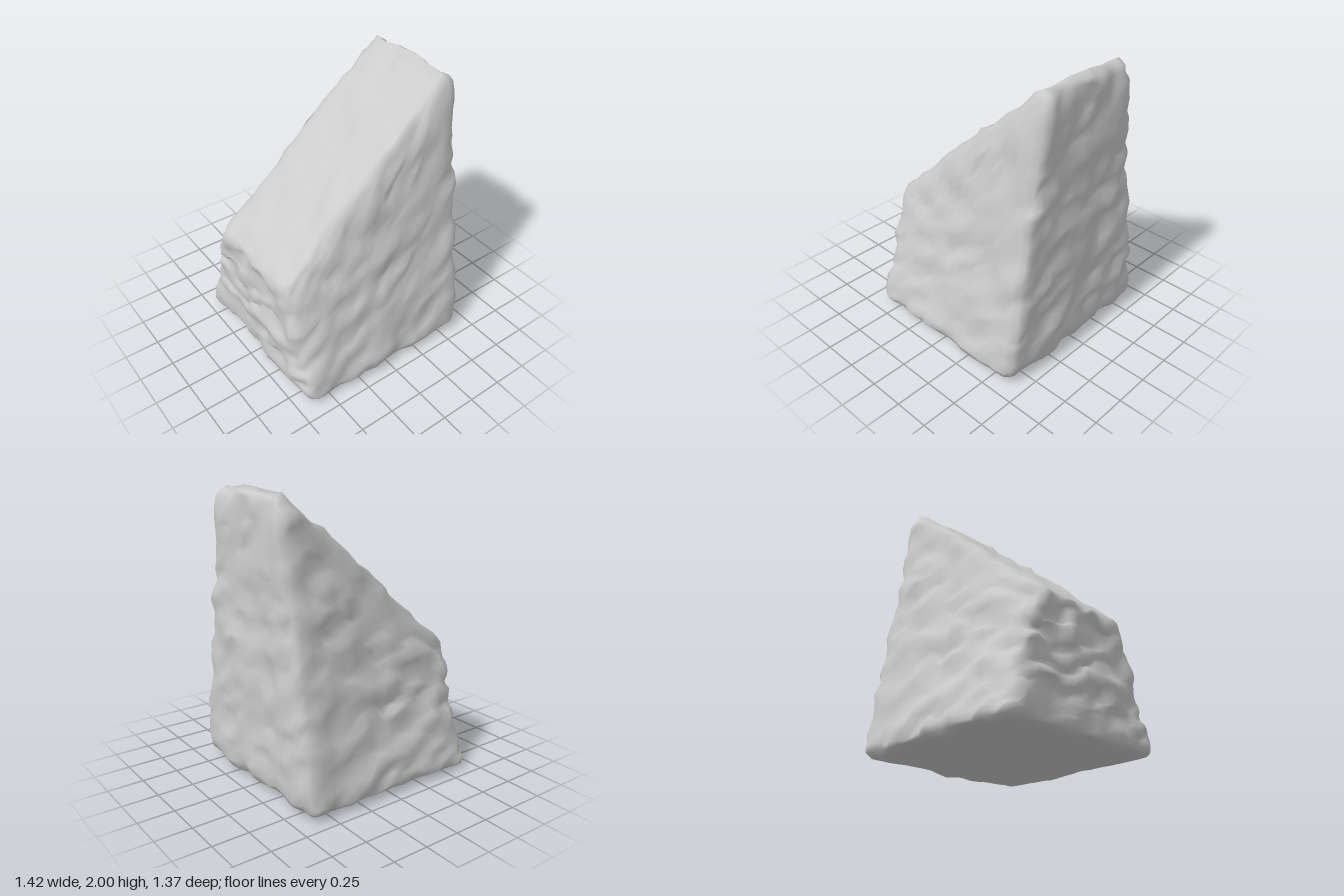
import * as THREE from 'three';
import { mergeVertices } from 'three/addons/utils/BufferGeometryUtils.js';

// Repeatable hash of a lattice point, -1..1
function hash(i, j, k) {
  const s = Math.sin(i * 127.1 + j * 311.7 + k * 74.7) * 43758.5453;
  return 2 * (s - Math.floor(s)) - 1;
}

// Smooth value noise, -1..1
function noise(x, y, z) {
  const [i, j, k] = [x, y, z].map(Math.floor);
  const [a, b, c] = [x - i, y - j, z - k].map((t) => t * t * (3 - 2 * t));
  let sum = 0;
  for (let n = 0; n < 8; n++) {
    const [p, q, r] = [n & 1, (n >> 1) & 1, n >> 2];
    sum += hash(i + p, j + q, k + r) * (p ? a : 1 - a) * (q ? b : 1 - b) * (r ? c : 1 - c);
  }
  return sum;
}

export function createModel() {
  const group = new THREE.Group();
  group.name = 'rock';

  const half = new THREE.Vector3(0.678, 0.72, 0.683);
  const radius = 0.085;
  let geometry = new THREE.BoxGeometry(half.x * 2, half.y * 2, half.z * 2, 20, 27, 20);
  geometry.deleteAttribute('normal');
  geometry.deleteAttribute('uv');
  geometry = mergeVertices(geometry);

  const pos = geometry.attributes.position;
  const p = new THREE.Vector3();
  const core = new THREE.Vector3();
  const inner = half.clone().subScalar(radius);
  const outer = inner.clone().negate();

  // Round the block's edges, slant its top and lean the front and back inwards
  for (let n = 0; n < pos.count; n++) {
    p.fromBufferAttribute(pos, n);
    core.copy(p).clamp(outer, inner);
    p.sub(core).setLength(radius).add(core);
    const v = (p.y + half.y) / (2 * half.y);
    const top = 1.47 + 0.87 * Math.min(p.x, 0.61);
    p.y = 0.025 + v * (top - 0.025);
    p.z *= THREE.MathUtils.lerp(1, 0.555, v);
    pos.setXYZ(n, p.x, p.y, p.z);
  }
  geometry.computeVertexNormals();

  // Break the surface into small lumps and short, overhanging ledges
  const normals = geometry.attributes.normal.clone();
  for (let n = 0; n < pos.count; n++) {
    p.fromBufferAttribute(pos, n);
    const { x, y, z } = p;
    const ny = normals.getY(n);
    const wall = 1 - Math.abs(ny);
    const ledge = noise(x * 9 + 9, y * 15, z * 9 + 4);
    const lump = noise(x * 7, y * 8 + 7, z * 7);
    const push = ledge * (0.012 + 0.016 * wall) + 0.014 * lump;
    const slide = 0.016 * Math.max(ny, 0) + 0.006;
    p.x += normals.getX(n) * push + slide * noise(x * 12, y * 12 + 2, z * 12);
    p.y += ny * push + 0.045 * wall * noise(x * 10 + 3, y * 14, z * 10);
    p.z += normals.getZ(n) * push + slide * noise(x * 12, y * 12 + 5, z * 12);
    pos.setXYZ(n, p.x, p.y, p.z);
  }

  // Stand on the ground, centred
  geometry.computeBoundingBox();
  const mid = geometry.boundingBox.getCenter(new THREE.Vector3());
  geometry.translate(-mid.x, -geometry.boundingBox.min.y, -mid.z);
  geometry.computeVertexNormals();

  const rock = new THREE.Mesh(geometry, new THREE.MeshStandardMaterial({ color: 0xcccccc }));
  rock.name = 'slantedBoulder';
  group.add(rock);
  return group;
}
